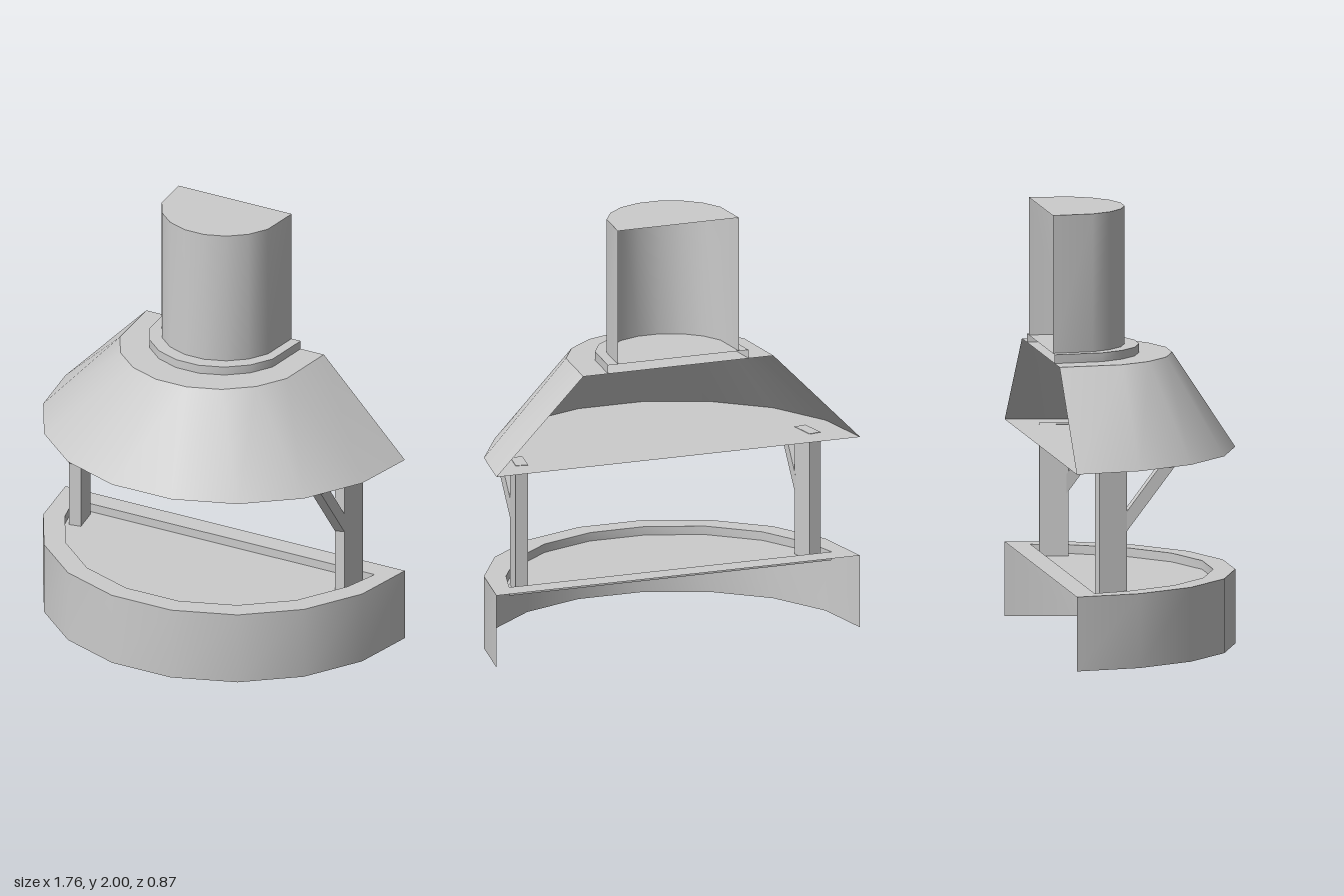
import * as THREE from 'three';

const BACK = -0.433, SIDES = 9;

// Half-round outline with a straight back; shift moves the arc forward of the back line
function outline(r, shift = 0, back = BACK) {
  const pts = [];
  for (let i = 0; i <= SIDES; i++) {
    const a = (i / SIDES) * Math.PI, end = i === 0 || i === SIDES;
    pts.push([r * Math.cos(a), end ? back : BACK + shift + r * Math.sin(a)]);
  }
  return pts;
}

// Smooth open wall between two outlines
function wallGeometry(low, y0, high, y1) {
  const pos = [], index = [], n = low.length;
  low.forEach(([x, z]) => pos.push(x, y0, z));
  high.forEach(([x, z]) => pos.push(x, y1, z));
  for (let i = 0; i < n - 1; i++) {
    index.push(i, n + i, i + 1, n + i, n + i + 1, i + 1);
  }
  const g = new THREE.BufferGeometry();
  g.setAttribute('position', new THREE.Float32BufferAttribute(pos, 3));
  g.setIndex(index);
  g.computeVertexNormals();
  return g;
}

const toPoints = (pts) => pts.map(([x, z]) => new THREE.Vector2(x, -z));

// Flat horizontal sheet, optionally with a hole
function plateGeometry(pts, y, hole) {
  const shape = new THREE.Shape(toPoints(pts));
  if (hole) shape.holes.push(new THREE.Path(toPoints(hole)));
  return new THREE.ShapeGeometry(shape).rotateX(-Math.PI / 2).translate(0, y, 0);
}

export function createModel() {
  const model = new THREE.Group();
  const shell = new THREE.MeshStandardMaterial({ color: 0xcccccc, side: THREE.DoubleSide });
  const solid = new THREE.MeshStandardMaterial({ color: 0xcccccc });
  const add = (name, geometry, material = shell) => {
    const mesh = new THREE.Mesh(geometry, material);
    mesh.name = name;
    model.add(mesh);
    return mesh;
  };

  // Hearth base, open below and behind, with a shallow recess in its top
  const rim = outline(0.88);
  const recess = outline(0.78, 0, BACK + 0.1);
  const top = 0.34, floor = 0.30;
  add('baseWall', wallGeometry(rim, 0, rim, top));
  add('baseRim', plateGeometry(rim, top, recess));
  add('recessWall', wallGeometry(recess, floor, recess, top));
  const backEdge = [recess[SIDES], recess[0]];
  add('recessBackWall', wallGeometry(backEdge, floor, backEdge, top));
  add('hearthFloor', plateGeometry(recess, floor));

  // Hood, collar and flue, all open behind
  const hoodTop = outline(0.46, 0.137);
  const collar = outline(0.34, 0.107);
  const flue = outline(0.293, 0.088);
  add('hoodBottom', plateGeometry(rim, 0.9));
  add('hoodWall', wallGeometry(rim, 0.9, hoodTop, 1.33));
  add('hoodTop', plateGeometry(hoodTop, 1.33));
  add('collarWall', wallGeometry(collar, 1.33, collar, 1.37));
  add('collarTop', plateGeometry(collar, 1.37));
  add('flueWall', wallGeometry(flue, 1.37, flue, 2));
  add('flueTop', plateGeometry(flue, 2));

  // Side profile of a brace, drawn in (z, y)
  const braceShape = new THREE.Shape(
    [[-0.19, 0.585], [0.05, 0.9], [-0.02, 0.9], [-0.19, 0.675]].map(([z, y]) => new THREE.Vector2(z, y)));

  // Posts turned along the rim, each with a brace up to the hood
  for (const [side, s] of [['left', 1], ['right', -1]]) {
    const post = add(side + 'Post', new THREE.BoxGeometry(0.057, 0.902 - floor, 0.133), solid);
    post.position.set(s * 0.698, (0.902 + floor) / 2, -0.241);
    post.rotation.y = -s * Math.PI / 18;

    const brace = add(side + 'Brace', new THREE.ExtrudeGeometry(braceShape, { depth: 0.055, bevelEnabled: false })
      .translate(0, 0, -0.0275).rotateY(-Math.PI / 2), solid);
    brace.position.x = s * 0.686;
  }
  return model;
}
